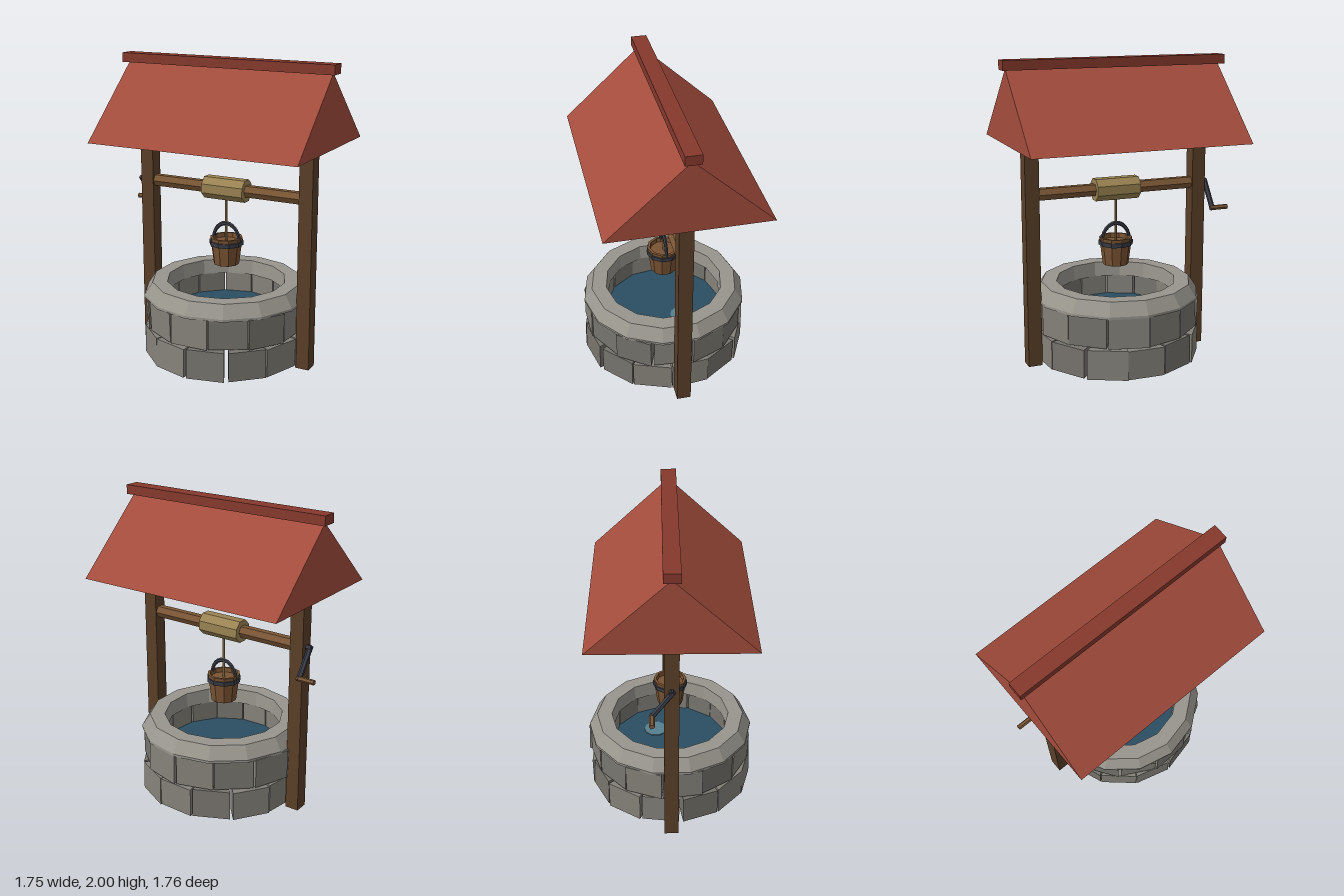
import * as THREE from 'three';

const mat = (color) => new THREE.MeshStandardMaterial({ color, flatShading: true });
const M = {
  stone: mat(0x85827a), stoneDark: mat(0x77746d), rim: mat(0x98958d),
  post: mat(0x5a3f28), axle: mat(0x7a5635), drum: mat(0x9a8353), rope: mat(0xa08050),
  bucket: mat(0x7a5433), iron: mat(0x3a3c46), roof: mat(0xa34c3c), ridge: mat(0x86392d),
  water: mat(0x2b4d63), glint: mat(0x55808f),
};

// Small seeded generator for the stone irregularities
let seed = 7;
const rand = () => (seed = (seed * 16807) % 2147483647) / 2147483647;
const jitter = (a) => (rand() - 0.5) * 2 * a;

function add(parent, name, geometry, material, x = 0, y = 0, z = 0) {
  const mesh = new THREE.Mesh(geometry, material);
  mesh.name = name;
  mesh.position.set(x, y, z);
  parent.add(mesh);
  return mesh;
}

// Round bar between two points
function bar(parent, name, a, b, radius, sides, material) {
  const dir = new THREE.Vector3().subVectors(b, a);
  const mesh = add(parent, name, new THREE.CylinderGeometry(radius, radius, dir.length(), sides), material);
  mesh.position.addVectors(a, b).multiplyScalar(0.5);
  mesh.quaternion.setFromUnitVectors(new THREE.Vector3(0, 1, 0), dir.normalize());
  return mesh;
}

// Wedge-shaped block: a box bent onto a ring
function stoneGeometry(angle, span, y0, y1) {
  const g = new THREE.BoxGeometry(1, 1, 1);
  const p = g.attributes.position;
  const outer = 0.548 + jitter(0.01);
  const tilt = jitter(0.008);
  const skew = jitter(0.008);
  for (let i = 0; i < p.count; i++) {
    const sx = p.getX(i), sy = p.getY(i), front = p.getZ(i) > 0;
    const r = front ? outer + tilt * sy + skew * sx : 0.4;
    const a = angle + sx * span;
    p.setXYZ(i, r * Math.sin(a), sy < 0 ? y0 : y1, r * Math.cos(a));
  }
  g.computeVertexNormals();
  return g;
}

function stoneRing(parent, name, y0, y1, offset) {
  const ring = new THREE.Group();
  ring.name = name;
  const n = 13, step = (Math.PI * 2) / n;
  for (let i = 0; i < n; i++) {
    const span = step * (0.96 + jitter(0.025));
    add(ring, 'stone', stoneGeometry(offset + i * step + jitter(0.02), span, y0 + rand() * 0.006, y1 - rand() * 0.006),
      i % 3 ? M.stone : M.stoneDark);
  }
  parent.add(ring);
}

const lathe = (points, sides) =>
  new THREE.LatheGeometry(points.map(([r, y]) => new THREE.Vector2(r, y)), sides);
const V = (x, y, z) => new THREE.Vector3(x, y, z);

export function createModel() {
  const model = new THREE.Group();
  model.name = 'well';

  // Stone wall: two courses and a chamfered rim
  const wall = new THREE.Group();
  wall.name = 'wall';
  model.add(wall);
  stoneRing(wall, 'lowerCourse', 0.018, 0.217, 0.72);
  stoneRing(wall, 'upperCourse', 0.225, 0.43, 0.98);
  add(wall, 'rim', lathe(
    [[0.39, 0.425], [0.555, 0.425], [0.555, 0.442], [0.5, 0.525], [0.4, 0.525], [0.39, 0.425]], 14), M.rim);

  // Water with a pale glint
  add(model, 'water', new THREE.CylinderGeometry(0.41, 0.41, 0.02, 20), M.water, 0, 0.28, 0);
  add(model, 'glint', new THREE.CylinderGeometry(0.08, 0.08, 0.006, 10), M.glint, 0.13, 0.292, -0.1);

  // Posts
  for (const s of [-1, 1]) {
    add(model, 'post', new THREE.BoxGeometry(0.093, 1.48, 0.093), M.post, s * 0.585, 0.74, 0);
  }

  // Gable roof and ridge beam
  const gable = new THREE.Shape([
    new THREE.Vector2(-0.513, 1.47), new THREE.Vector2(0.513, 1.47), new THREE.Vector2(0, 1.945)]);
  const roof = new THREE.ExtrudeGeometry(gable, { depth: 1.457, bevelEnabled: false });
  roof.translate(0, 0, -1.457 / 2).rotateY(Math.PI / 2);
  add(model, 'roof', roof, M.roof);
  add(model, 'ridgeBeam', new THREE.BoxGeometry(1.512, 0.062, 0.102), M.ridge, 0, 1.969, 0);

  // Windlass: axle, drum and crank
  const axleY = 1.145;
  const axle = new THREE.CylinderGeometry(0.043, 0.043, 1.16, 6);
  axle.rotateY(Math.PI / 6).rotateZ(Math.PI / 2);
  axle.rotateX(Math.PI / 6);
  add(model, 'axle', axle, M.axle, 0, axleY, 0);
  const drum = new THREE.CylinderGeometry(0.078, 0.078, 0.3, 8);
  drum.rotateY(Math.PI / 8).rotateZ(Math.PI / 2);
  add(model, 'drum', drum, M.drum, 0, axleY, 0);
  bar(model, 'crankShaft', V(-0.6, axleY, 0), V(-0.665, axleY, 0), 0.018, 6, M.iron);
  bar(model, 'crankArm', V(-0.655, axleY + 0.01, 0.01), V(-0.655, 0.97, -0.125), 0.018, 6, M.iron);
  bar(model, 'crankHandle', V(-0.64, 0.98, -0.12), V(-0.765, 0.98, -0.12), 0.017, 6, M.axle);

  // Rope and bucket
  add(model, 'rope', new THREE.CylinderGeometry(0.008, 0.008, 0.32, 6), M.rope, 0, 0.94, 0);
  const bucket = new THREE.Group();
  bucket.name = 'bucket';
  model.add(bucket);
  add(bucket, 'staves', lathe(
    [[0, 0.63], [0.086, 0.63], [0.11, 0.815], [0.093, 0.815], [0.09, 0.785], [0, 0.785]], 10), M.bucket);
  add(bucket, 'hoop', lathe(
    [[0.1, 0.763], [0.114, 0.763], [0.116, 0.792], [0.1, 0.792], [0.1, 0.763]], 10), M.iron);
  const bail = add(bucket, 'bail', new THREE.TorusGeometry(0.098, 0.012, 6, 12, Math.PI), M.iron, 0, 0.785, 0);
  bail.scale.y = 1.25;

  // The whole well stands turned on its base
  model.rotation.y = -0.815;
  const root = new THREE.Group();
  root.name = 'wishingWell';
  root.add(model);
  return root;
}
